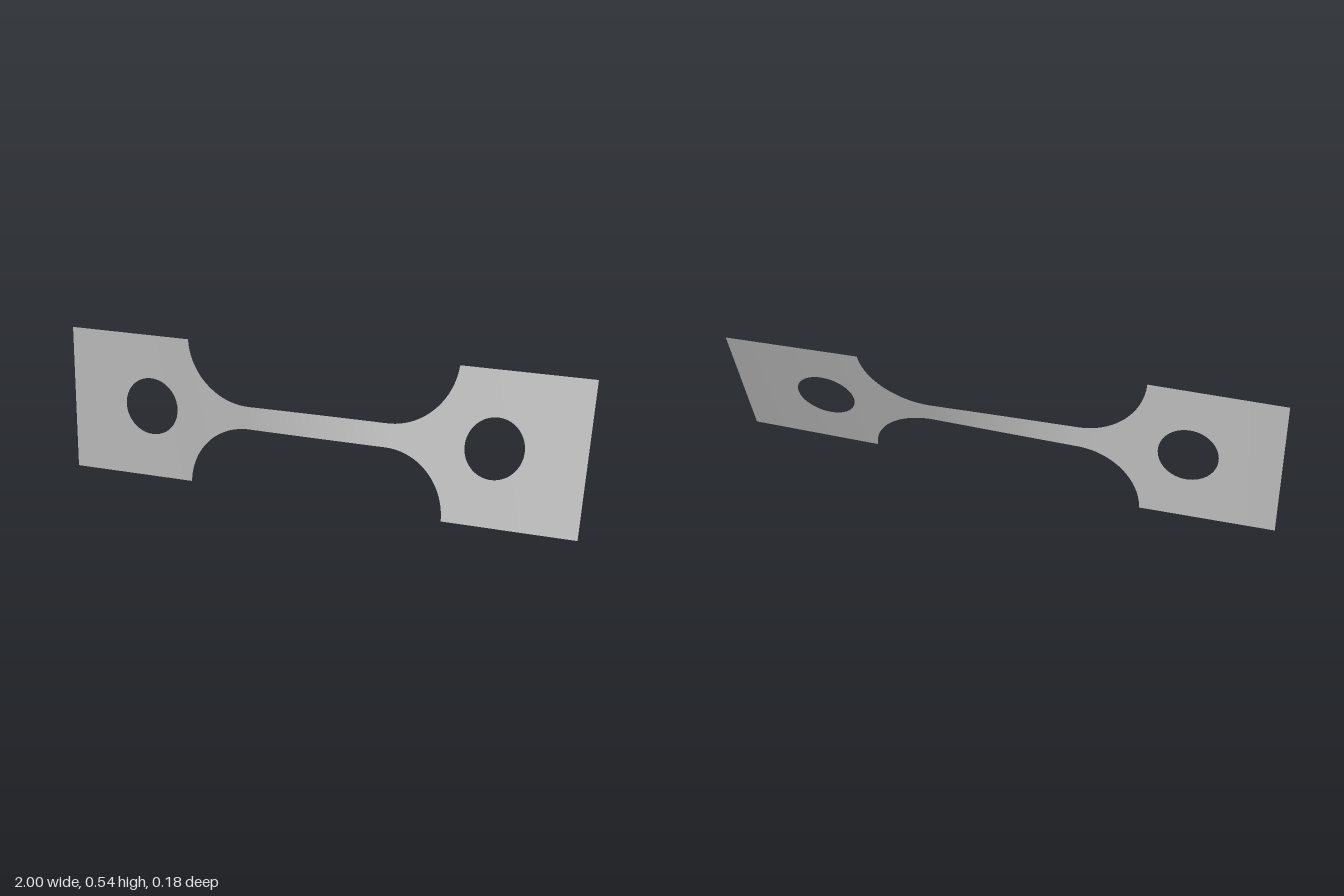
import * as THREE from 'three';
import { ParametricGeometry } from 'three/addons/geometries/ParametricGeometry.js';

const MID = 0.2725;     // height of the long axis, and half height of the tabs
const NECK = 0.0425;    // half height of the narrow bar
const BAR = 0.27;       // where the fillets begin
const FILLET = 0.24;
const TAB = 0.51;       // inner edge of the tabs
const HOLE_X = 0.67, HOLE_R = 0.108;

// Twist in degrees at stations along the bar
const STATIONS = [[-1, -0.4], [-0.5, -1], [-0.27, -0.4], [0.27, 17.2], [0.5, 17.7], [1, 19.5]];

function twist(x) {
  let i = 0;
  while (i < STATIONS.length - 2 && x > STATIONS[i + 1][0]) i++;
  const [x0, a0] = STATIONS[i], [x1, a1] = STATIONS[i + 1];
  return THREE.MathUtils.degToRad(a0 + (a1 - a0) * (x - x0) / (x1 - x0));
}

// Places a flat sheet point (x, h) on the twisted surface
function place(x, h, target) {
  const a = twist(x);
  target.set(x, MID + h * Math.cos(a), -h * Math.sin(a));
}

// Half height of the bar, growing along round fillets
function halfHeight(x) {
  const d = Math.max(0, Math.abs(x) - BAR);
  return Math.min(MID, NECK + FILLET - Math.sqrt(Math.max(0, FILLET * FILLET - d * d)));
}

export function createModel() {
  const group = new THREE.Group();
  const steel = new THREE.MeshStandardMaterial({ color: 0xbbbbbb, side: THREE.DoubleSide });
  steel.name = 'grey steel';

  const add = (name, geometry) => {
    const mesh = new THREE.Mesh(geometry, steel);
    mesh.name = name;
    group.add(mesh);
  };

  // Narrow bar with flared ends; stations bunch up towards the tabs
  add('gaugeBar', new ParametricGeometry((u, v, target) => {
    const x = TAB * Math.sin((u - 0.5) * Math.PI);
    place(x, (2 * v - 1) * halfHeight(x), target);
  }, 96, 8));

  // Gripping tabs: rings lofted from the rectangular rim to the round hole
  for (const [name, side] of [['leftTab', 1], ['rightTab', -1]]) {
    const xMin = side > 0 ? TAB : -1;
    const xMax = side > 0 ? 1 : -TAB;
    const cx = side * HOLE_X;
    const corners = [[xMin, -MID], [xMax, -MID], [xMax, MID], [xMin, MID], [xMin, -MID]];
    add(name, new ParametricGeometry((u, v, target) => {
      const k = Math.min(3, Math.floor(u * 4));
      const t = u * 4 - k;
      const x = THREE.MathUtils.lerp(corners[k][0], corners[k + 1][0], t);
      const h = THREE.MathUtils.lerp(corners[k][1], corners[k + 1][1], t);
      const a = Math.atan2(h, x - cx);
      place(
        THREE.MathUtils.lerp(x, cx + HOLE_R * Math.cos(a), v),
        THREE.MathUtils.lerp(h, HOLE_R * Math.sin(a), v),
        target
      );
    }, 96, 6));
  }
  return group;
}
